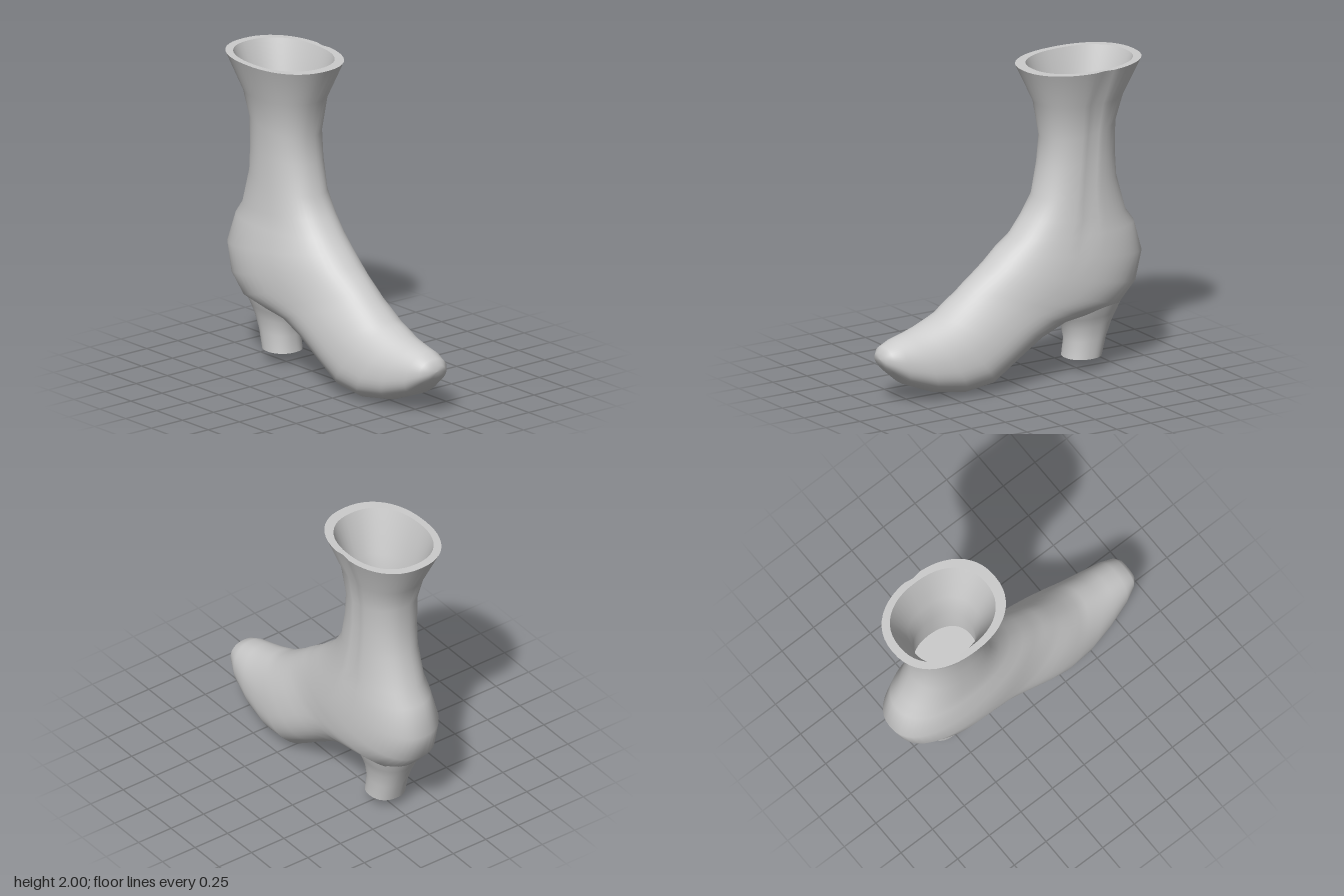
import * as THREE from 'three';

const SEG = 48;
const spow = (v, p) => Math.sign(v) * Math.pow(Math.abs(v), p);

// One closed section between a front point and a back point in the side plane.
// ring = [frontZ, frontY, backZ, backY, halfWidth, narrowing at front, groove on the left side, centreX]
function section([fz, fy, bz, by, w, egg = 0, groove = 0, cx = 0], power) {
  const pts = [];
  for (let j = 0; j < SEG; j++) {
    const t = (j / SEG) * Math.PI * 2;
    const a = spow(Math.cos(t), 2 / power);
    const s = spow(Math.sin(t), 2 / power);
    const cut = j === SEG / 4 ? 1 - groove : 1;
    pts.push(
      cx + w * s * (1 - egg * a) * cut,
      (fy + by) / 2 + ((fy - by) / 2) * a,
      (fz + bz) / 2 + ((fz - bz) / 2) * a
    );
  }
  return pts;
}

// Skin through the sections; listing them downward faces the skin outward
function loft(name, rings, material, power = 2.25) {
  const pos = rings.flatMap((r) => section(r, power));
  const idx = [];
  for (let i = 0; i < rings.length - 1; i++) {
    for (let j = 0; j < SEG; j++) {
      const k = (j + 1) % SEG;
      const a = i * SEG + j, b = i * SEG + k, c = a + SEG, d = b + SEG;
      idx.push(a, c, b, b, c, d);
    }
  }
  const geo = new THREE.BufferGeometry();
  geo.setAttribute('position', new THREE.Float32BufferAttribute(pos, 3));
  geo.setIndex(idx);
  geo.computeVertexNormals();
  const mesh = new THREE.Mesh(geo, material);
  mesh.name = name;
  return mesh;
}

// Flat section shrunk to its middle, for caps
const middle = ([fz, fy, bz, by]) => {
  const z = (fz + bz) / 2, y = (fy + by) / 2;
  return [z, y, z, y, 0];
};

export function createModel() {
  const boot = new THREE.Group();
  boot.name = 'boot';
  const mat = new THREE.MeshStandardMaterial({ color: 0xcccccc });

  // Shaft, turning through the ankle into the foot and ending at the toe
  const shaft = [
    [-0.11, 1.985, -0.92, 2.0, 0.315, 0, 0.04],
    [-0.22, 1.75, -0.8, 1.76, 0.225, 0, 0.06],
    [-0.26, 1.52, -0.75, 1.6, 0.195, 0, 0.06],
    [-0.24, 1.35, -0.75, 1.4, 0.19, 0, 0.06],
    [-0.2, 1.15, -0.76, 1.24, 0.195, 0, 0.06],
    [-0.12, 1.03, -0.83, 1.0, 0.21, 0, 0.05],
    [-0.03, 0.92, -0.89, 0.92, 0.225, 0.04, 0.03],
  ];
  const foot = [
    [0.06, 0.85, -0.95, 0.72, 0.25, 0.06, 0, -0.01],
    [0.15, 0.77, -0.9, 0.53, 0.262, 0.08, 0, -0.01],
    [0.22, 0.72, -0.78, 0.4, 0.255, 0.1, 0, -0.01],
    [0.3, 0.66, -0.55, 0.36, 0.245, 0.12, 0, -0.01],
    [0.36, 0.61, -0.38, 0.34, 0.24, 0.14, 0, -0.01],
    [0.42, 0.57, -0.2, 0.27, 0.245, 0.16, 0, -0.01],
    [0.5, 0.51, 0.0, 0.15, 0.25, 0.18, 0, -0.005],
    [0.56, 0.49, 0.18, 0.03, 0.243, 0.2],
    [0.66, 0.45, 0.38, 0.0, 0.222, 0.2],
    [0.75, 0.425, 0.6, 0.035, 0.19, 0.18, 0, 0.005],
    [0.85, 0.4, 0.8, 0.115, 0.15, 0.12, 0, 0.01],
    [0.92, 0.365, 0.9, 0.2, 0.112, 0.06, 0, 0.01],
    [0.945, 0.33, 0.945, 0.25, 0.07, 0, 0, 0.01],
    [0.95, 0.29, 0.95, 0.29, 0, 0, 0, 0.01],
  ];
  boot.add(loft('upper', [...shaft, ...foot], mat));

  // Rim and hollow lining with its floor
  const mouth = [-0.18, 1.985, -0.865, 2.0, 0.272];
  const floor = [-0.3, 1.25, -0.71, 1.25, 0.16];
  const lining = [
    floor,
    [-0.31, 1.5, -0.71, 1.5, 0.163],
    [-0.275, 1.7, -0.75, 1.7, 0.19],
    mouth,
  ];
  boot.add(loft('lining', lining, mat));
  boot.add(loft('liningFloor', [middle(floor), floor], mat));
  boot.add(loft('rim', [mouth, shaft[0]], mat));

  // Heel, flared into the underside, with a flat tip
  const tip = [-0.415, 0.08, -0.66, 0.08, 0.12];
  const heel = [
    [-0.3, 0.5, -0.84, 0.52, 0.2],
    [-0.34, 0.4, -0.8, 0.43, 0.175],
    [-0.38, 0.34, -0.765, 0.36, 0.15],
    [-0.41, 0.28, -0.735, 0.3, 0.13],
    [-0.428, 0.19, -0.695, 0.2, 0.118],
    tip,
  ];
  boot.add(loft('heel', heel, mat));
  boot.add(loft('heelTip', [tip, middle(tip)], mat));

  return boot;
}
